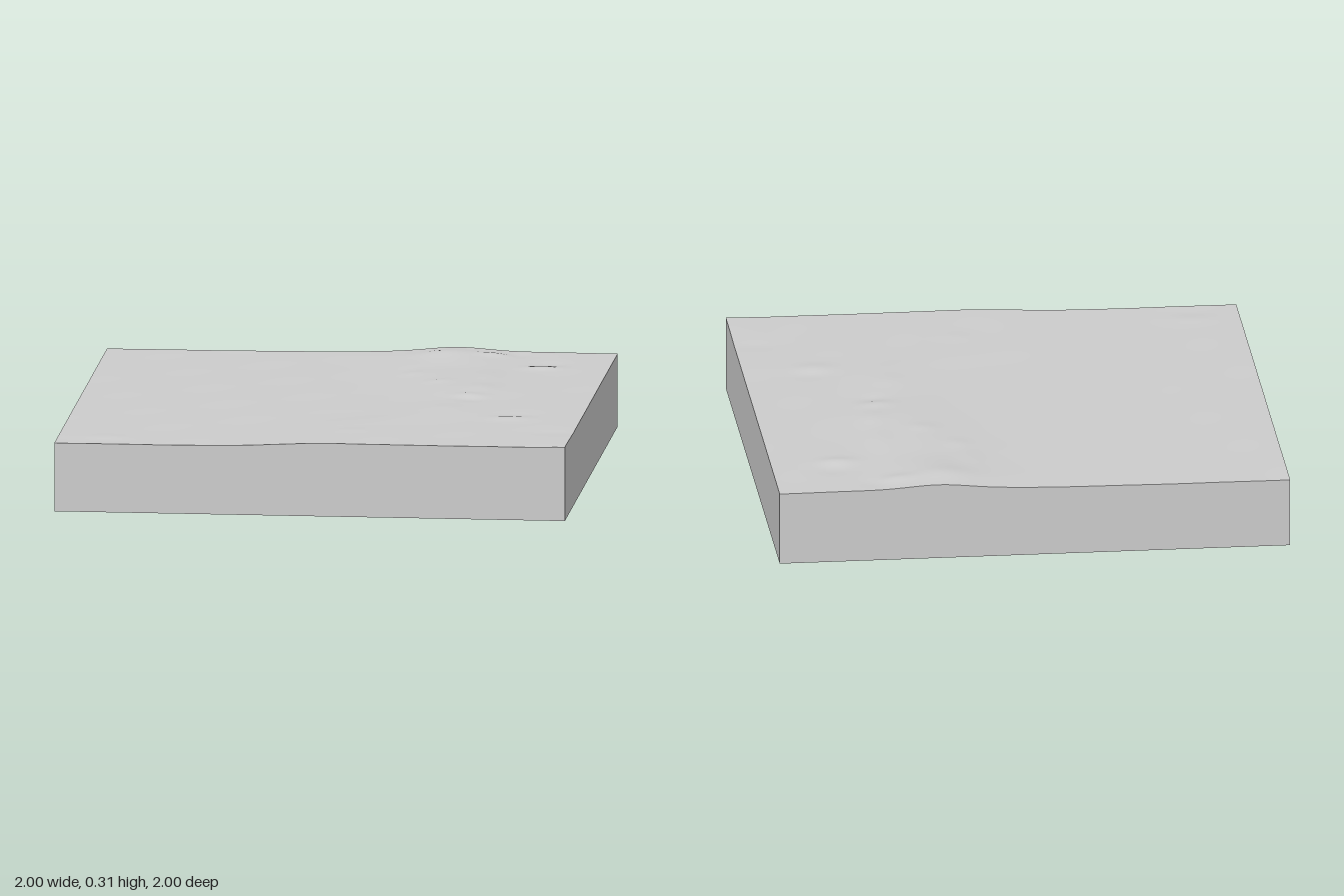
import * as THREE from 'three';

const SEGMENTS = 100;
const smooth = (a, b, t) => THREE.MathUtils.smoothstep(t, a, b);

// Ridge line across the plateau: [z, x, crest height above plateau]
const ridge = [
  [-1, 0.38, 0.014], [-0.87, 0.36, 0.017], [-0.6, 0.4, 0.007], [-0.2, 0.46, 0.011],
  [0.05, 0.45, 0.004], [0.28, 0.42, 0.005], [0.6, 0.27, 0.001], [1, 0.12, 0.001],
];

// Small hills and hollows: [x, z, radius x, radius z, height]
const bumps = [
  [0.34, -0.87, 0.1, 0.07, 0.006], [0.53, -0.89, 0.07, 0.04, 0.008], [0.62, -0.91, 0.05, 0.05, -0.004],
  [0.74, -0.66, 0.07, 0.04, 0.009], [0.76, -0.75, 0.06, 0.05, -0.004], [0.22, -0.66, 0.05, 0.09, 0.004],
  [0.25, -0.5, 0.05, 0.05, 0.004], [0.37, -0.32, 0.05, 0.04, 0.004], [0.55, -0.2, 0.05, 0.08, 0.005],
  [0.55, -0.45, 0.05, 0.12, 0.005], [0.52, -0.04, 0.06, 0.04, 0.007], [0.53, 0.03, 0.05, 0.04, -0.004],
  [0.45, 0.22, 0.06, 0.07, 0.003], [0.72, 0.4, 0.08, 0.05, 0.007], [0.74, 0.32, 0.06, 0.04, -0.003],
  [0.13, 0.7, 0.06, 0.05, 0.003], [-0.82, 0.85, 0.09, 0.05, 0.003], [-0.8, 0.93, 0.07, 0.04, -0.002],
  [0.92, 0.68, 0.09, 0.05, -0.003], [1, 0.95, 0.12, 0.15, 0.004],
];

function ridgeAt(z) {
  let i = 0;
  while (i < ridge.length - 2 && z > ridge[i + 1][0]) i++;
  const [a, b] = [ridge[i], ridge[i + 1]];
  const t = smooth(a[0], b[0], z);
  return [1, 2].map((k) => THREE.MathUtils.lerp(a[k], b[k], t));
}

function heightAt(x, z) {
  const [rx, crest] = ridgeAt(z);
  let y = 0.271 + 0.005 * smooth(-0.7, 0, x) + 0.013 * smooth(rx - 0.5, rx, x);
  y += crest * Math.exp(-(((x - rx) / 0.16) ** 2));
  for (const [bx, bz, sx, sz, h] of bumps) {
    y += h * Math.exp(-(((x - bx) / sx) ** 2) - ((z - bz) / sz) ** 2);
  }
  // Faint unevenness of the ground
  return y + 0.0005 * Math.sin(13 * x + 5 * z) * Math.sin(11 * z - 4 * x);
}

function terrainGeometry() {
  const geometry = new THREE.PlaneGeometry(2, 2, SEGMENTS, SEGMENTS).rotateX(-Math.PI / 2);
  const p = geometry.attributes.position;
  for (let i = 0; i < p.count; i++) p.setY(i, heightAt(p.getX(i), p.getZ(i)));
  geometry.computeVertexNormals();
  return geometry;
}

// Flat wall whose upper edge follows the terrain
function wallGeometry(angle) {
  const geometry = new THREE.PlaneGeometry(2, 1, SEGMENTS, 1).translate(0, 0.5, 1).rotateY(angle);
  const p = geometry.attributes.position;
  for (let i = 0; i < p.count; i++) {
    p.setY(i, p.getY(i) > 0.5 ? heightAt(p.getX(i), p.getZ(i)) : 0);
  }
  return geometry;
}

export function createModel() {
  const model = new THREE.Group();
  model.name = 'terrainBlock';
  const stone = new THREE.MeshStandardMaterial({ color: 0xcccccc });
  stone.name = 'light grey stone';

  const add = (name, geometry) => {
    const mesh = new THREE.Mesh(geometry, stone);
    mesh.name = name;
    model.add(mesh);
  };

  add('terrainSurface', terrainGeometry());
  ['frontWall', 'leftWall', 'backWall', 'rightWall'].forEach((name, i) => {
    add(name, wallGeometry((i * Math.PI) / 2));
  });
  add('base', new THREE.PlaneGeometry(2, 2).rotateX(Math.PI / 2));
  return model;
}
